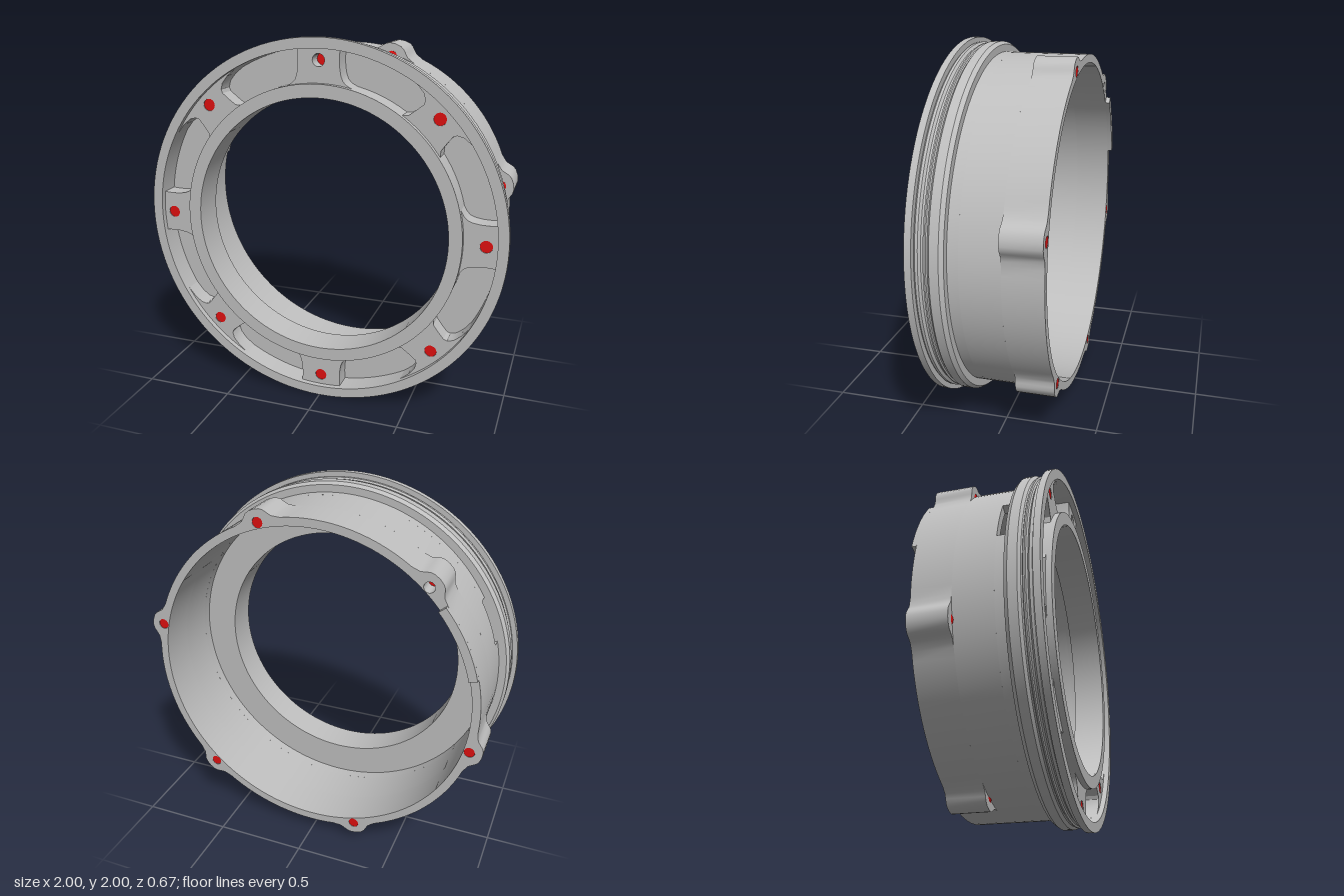
import * as THREE from 'three';
import { toCreasedNormals } from 'three/addons/utils/BufferGeometryUtils.js';

const RAD = Math.PI / 180;
const INNER = 0.88, OUTER = 0.925;        // wall radii
const polar = (r, deg) => new THREE.Vector2(r * Math.cos(deg * RAD), r * Math.sin(deg * RAD));

export function createModel() {
  const metal = new THREE.MeshStandardMaterial({ color: 0xbfbfbf });
  metal.name = 'light grey metal';
  const red = new THREE.MeshStandardMaterial({ color: 0xe01010 });
  red.name = 'red thread';

  const model = new THREE.Group();
  const ring = new THREE.Group();         // everything is built around the z axis
  ring.name = 'housingRing';
  ring.position.y = 1;
  model.add(ring);

  function add(name, geometry, material = metal) {
    const mesh = new THREE.Mesh(geometry, material);
    mesh.name = name;
    ring.add(mesh);
    return mesh;
  }
  function extrude(name, shape, z0, z1) {
    const g = new THREE.ExtrudeGeometry(shape, { depth: z1 - z0, bevelEnabled: false, curveSegments: 96 });
    g.translate(0, 0, z0);
    return add(name, toCreasedNormals(g, 0.5));
  }
  function arc(r, a0, a1, step = 3) {
    const n = Math.max(1, Math.ceil(Math.abs(a1 - a0) / step));
    return Array.from({ length: n + 1 }, (_, i) => polar(r, a0 + (a1 - a0) * i / n));
  }
  function circleHole(r, x = 0, y = 0) {
    return new THREE.Path().absarc(x, y, r, 0, Math.PI * 2, true);
  }
  const sector = (ri, ro, a0, a1) => new THREE.Shape([...arc(ro, a0, a1), ...arc(ri, a1, a0)]);

  // Front collar: flange, outer grooves, bore and the annular front channel
  const profile = [
    [0.70, 0.155], [0.965, 0.155], [0.98, 0.175], [0.98, 0.222], [0.965, 0.235],
    [0.965, 0.243], [0.972, 0.247], [0.972, 0.254], [0.962, 0.258], [0.962, 0.268],
    [0.975, 0.278], [0.975, 0.292], [0.968, 0.30], [1, 0.30], [1, 0.335],
    [0.945, 0.335], [0.945, 0.21], [0.77, 0.21], [0.77, 0.335], [0.70, 0.335], [0.70, 0.155],
  ].map(([r, z]) => new THREE.Vector2(r, z));
  const collar = new THREE.LatheGeometry(profile, 128);
  collar.rotateX(Math.PI / 2);
  add('frontCollar', toCreasedNormals(collar, 0.4));

  // Wall: slotted band behind the collar, then a plain ring
  extrude('slottedWallBand', sector(INNER, OUTER, 166.5, 510.5), 0.10, 0.157);
  const plain = new THREE.Shape(arc(OUTER, 0, 357));
  plain.holes.push(circleHole(INNER));
  extrude('wall', plain, -0.105, 0.10);

  // Rear wall with six screw lugs around its outline
  const lugAngles = [13, 73, 133, 193, 253, 313];
  const lugHalf = [[0.925, 0.105], [0.932, 0.086], [0.95, 0.068], [0.967, 0.052], [0.977, 0.032], [0.981, 0]];
  const outline = [];
  for (const a of lugAngles) {
    const side = (s) => lugHalf.map(([u, v]) => new THREE.Vector2(u, s * v).rotateAround(new THREE.Vector2(), a * RAD));
    outline.push(...side(-1), ...side(1).reverse().slice(1), ...arc(OUTER, a + 8, a + 52));
  }
  const rear = new THREE.Shape(outline);
  rear.holes.push(circleHole(INNER));
  for (const a of lugAngles) {
    const p = polar(0.912, a);
    const hole = new THREE.Path(Array.from({ length: 16 }, (_, i) => polar(0.029, -i * 22.5).add(p)));
    rear.holes.push(hole);
  }
  extrude('rearWallWithLugs', rear, -0.31, -0.105);

  // Raised locating tab on the rear edge
  extrude('rearTab', sector(INNER, OUTER, 140.5, 165.8), -0.335, -0.309);

  // Red threads in the lugs, each with a small tip showing at the lug's front
  for (const a of lugAngles) {
    const back = a === 133 ? -0.22 : -0.308;
    const thread = new THREE.LatheGeometry([
      new THREE.Vector2(0, back), new THREE.Vector2(0.029, back),
      new THREE.Vector2(0.029, -0.106), new THREE.Vector2(0, -0.093),
    ], 12);
    thread.rotateX(Math.PI / 2);
    const p = polar(0.912, a);
    thread.translate(p.x, p.y, 0);
    add('lugThread', toCreasedNormals(thread, 0.6), red);
  }

  // Eight screw pads dividing the front channel into pockets: [radius, half angle]
  const axisSide = [[0.946, 6.9], [0.9, 7.1], [0.86, 7.5], [0.82, 8.3], [0.795, 9.3], [0.78, 10.8], [0.769, 13.5]];
  const diagonalSide = [[0.946, 16], [0.937, 12], [0.922, 9], [0.9, 7.3], [0.88, 6.9], [0.83, 7.7], [0.79, 8.6], [0.769, 10.5]];
  for (let k = 0; k < 8; k++) {
    const a = k * 45;
    const side = k % 2 ? diagonalSide : axisSide;
    const half = side[0][1], inner = side[side.length - 1][1];
    const shape = new THREE.Shape([
      ...arc(0.946, a - half, a + half),
      ...side.slice(1, -1).map(([r, d]) => polar(r, a + d)),
      ...arc(0.769, a + inner, a - inner),
      ...side.slice(1, -1).reverse().map(([r, d]) => polar(r, a - d)),
    ]);
    const p = polar(0.885, a);
    shape.holes.push(new THREE.Path(Array.from({ length: 16 }, (_, i) => polar(0.033, -i * 22.5).add(p))));
    extrude('screwPad', shape, 0.209, 0.305);

    // Red thread inside the pad hole; the top one sits deeper
    const top = k === 2 ? 0.235 : 0.302;
    const thread = new THREE.CylinderGeometry(0.033, 0.033, top - 0.205, 12);
    thread.rotateX(Math.PI / 2);
    thread.translate(p.x, p.y, (top + 0.205) / 2);
    add('padThread', thread, red);
  }
  return model;
}
